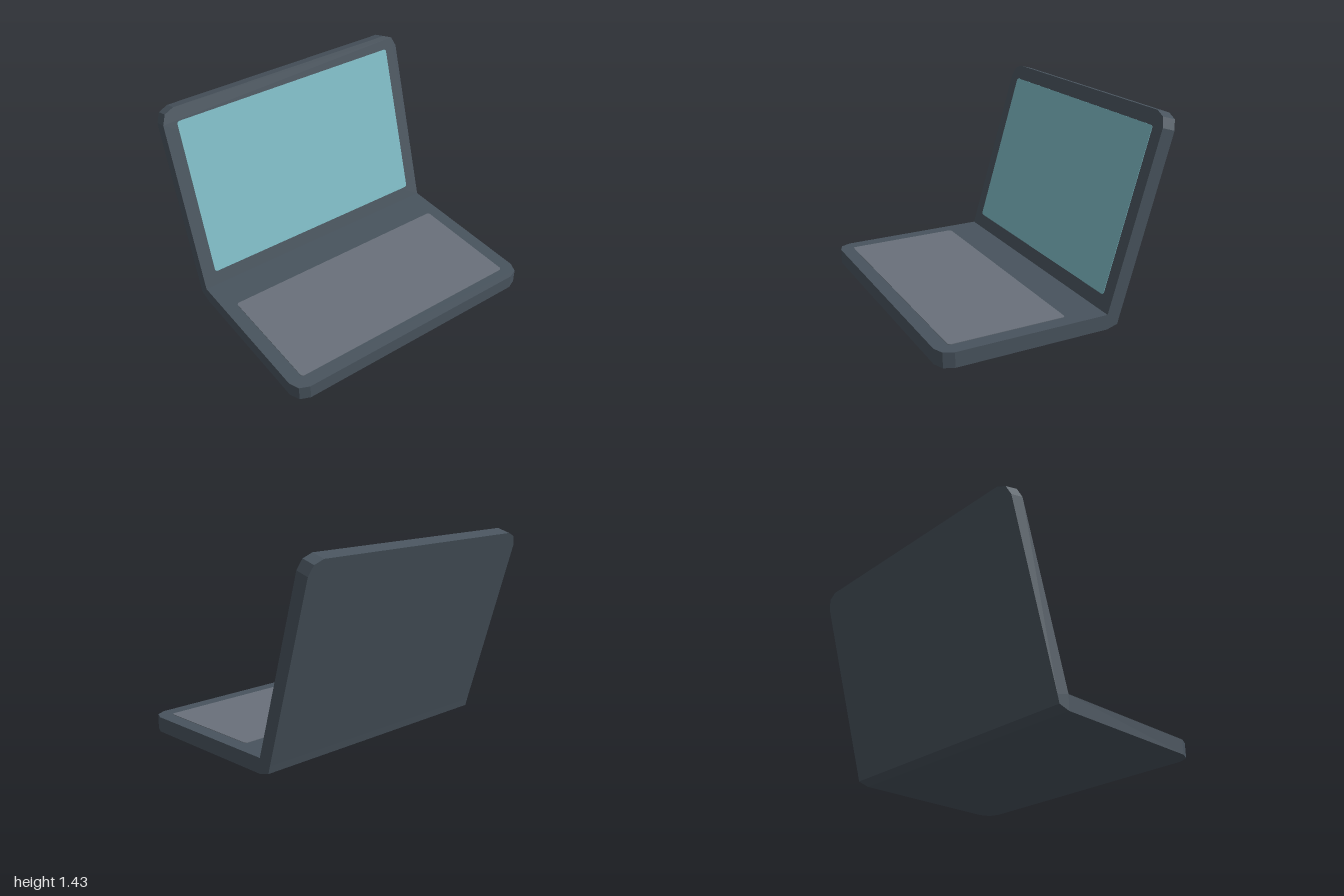
import * as THREE from 'three';

const mat = (name, color) => {
  const m = new THREE.MeshStandardMaterial({ color });
  m.name = name;
  return m;
};

// Slab outline: square at the hinge end (y0), two-facet corners at the far end (y1)
function slabShape(y0, y1) {
  const right = [[1, y0], [1, y1 - 0.1], [0.97, y1 - 0.03], [0.9, y1]];
  const left = right.map(([x, y]) => [-x, y]).reverse();
  return new THREE.Shape([...right, ...left].map(p => new THREE.Vector2(...p)));
}

// Inset panel outline with small rounded corners
function panelShape(w, y0, y1, r = 0.02) {
  const s = new THREE.Shape();
  s.absarc(w - r, y0 + r, r, -Math.PI / 2, 0);
  s.absarc(w - r, y1 - r, r, 0, Math.PI / 2);
  s.absarc(-w + r, y1 - r, r, Math.PI / 2, Math.PI);
  s.absarc(-w + r, y0 + r, r, Math.PI, Math.PI * 1.5);
  return s;
}

function extrude(name, shape, depth, material, z = 0) {
  const geo = new THREE.ExtrudeGeometry(shape, { depth, bevelEnabled: false, curveSegments: 3 });
  const mesh = new THREE.Mesh(geo, material);
  mesh.name = name;
  mesh.position.z = z;
  return mesh;
}

export function createModel() {
  const body = mat('slate casing', 0x48535d);
  const glass = mat('pale teal screen', 0x7cb8c2);
  const keys = mat('grey keyboard', 0x69707a);
  const model = new THREE.Group();
  model.name = 'laptop';
  const hingeY = 0.107, hingeZ = -0.365, lidThickness = 0.1;

  // Base lies flat: outline y becomes +z, depth runs downward
  const base = new THREE.Group();
  base.name = 'base';
  base.rotation.x = Math.PI / 2;
  base.position.y = hingeY;
  base.add(
    extrude('baseSlab', slabShape(hingeZ, 0.845), hingeY, body),
    extrude('keyboardPanel', panelShape(0.9, -0.1, 0.745), 0.003, keys, -0.003),
  );

  // Lid leans back around the top edge of the hinge
  const lid = new THREE.Group();
  lid.name = 'lid';
  lid.position.set(0, hingeY, hingeZ);
  lid.rotation.x = -0.284;
  lid.add(
    extrude('lidSlab', slabShape(0, 1.378), lidThickness, body, -lidThickness),
    extrude('screen', panelShape(0.9, 0.102, 1.274), 0.003, glass),
  );

  // Faceted wedge joining base and lid
  const wedge = new THREE.Shape(
    [[0.365, 0], [0.446, 0.023], [0.461, 0.079], [0.365, 0.107]].map(p => new THREE.Vector2(...p)));
  const hinge = extrude('hinge', wedge, 2, body);
  hinge.rotation.y = Math.PI / 2;
  hinge.position.x = -1;

  model.add(base, lid, hinge);
  return model;
}
